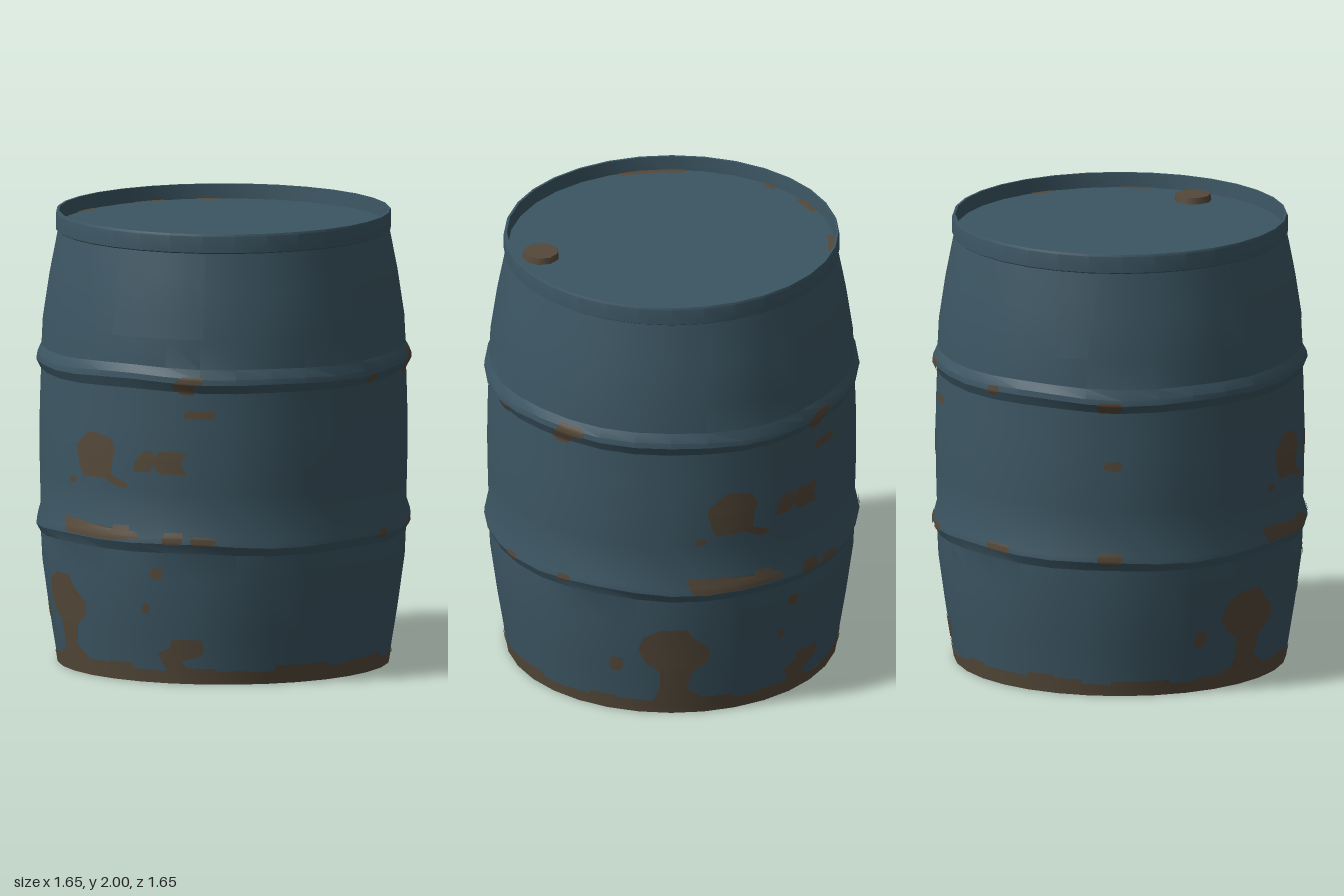
import * as THREE from 'three';
import { toCreasedNormals } from 'three/addons/utils/BufferGeometryUtils.js';

const SIDES = 32;
const rad = THREE.MathUtils.degToRad;
const blue = new THREE.MeshStandardMaterial({ color: 0x3c5663 });
blue.name = 'blue paint';
const rust = new THREE.MeshStandardMaterial({ color: 0x55493a });
rust.name = 'rust';

// Outer wall as [radius, height], with the two pressed ribs
const WALL = [
  [0.735, 0.045], [0.765, 0.23], [0.797, 0.46], [0.803, 0.585], [0.823, 0.625], [0.821, 0.65],
  [0.804, 0.71], [0.808, 0.86], [0.81, 1.0], [0.808, 1.15], [0.803, 1.305], [0.823, 1.345],
  [0.821, 1.37], [0.801, 1.41], [0.795, 1.53], [0.765, 1.73], [0.728, 1.92],
];

function wallRadius(y) {
  for (let i = 1; i < WALL.length; i++) {
    const [r0, y0] = WALL[i - 1], [r1, y1] = WALL[i];
    if (y <= y1) return r0 + (r1 - r0) * Math.max(0, (y - y0) / (y1 - y0));
  }
  return 0.728;
}

// Slight unevenness of the ribs, shared by wall and rust
function dent(a, y) {
  const near = Math.max(0, 1 - Math.min(Math.abs(y - 0.64), Math.abs(y - 1.36)) / 0.13);
  return y + near * (0.009 * Math.sin(3 * a + 0.6) + 0.006 * Math.sin(7 * a + y * 4));
}

function lathe(name, points, material) {
  const geo = new THREE.LatheGeometry(points.map(([r, y]) => new THREE.Vector2(r, y)), SIDES);
  const p = geo.attributes.position;
  for (let i = 0; i < p.count; i++) {
    p.setY(i, dent(Math.atan2(p.getX(i), p.getZ(i)), p.getY(i)));
  }
  const mesh = new THREE.Mesh(toCreasedNormals(geo, 0.4), material);
  mesh.name = name;
  return mesh;
}

// Thin skin on the wall; rows run downward as [height, start degrees, end degrees]
function skin(name, rows, material, turn = 0, lift = 0.003) {
  const pos = [], index = [], fine = [];
  const STEPS = 4;
  for (let i = 0; i < rows.length - 1; i++) {
    for (let s = 0; s < STEPS; s++) {
      fine.push(rows[i].map((v, k) => v + (rows[i + 1][k] - v) * s / STEPS));
    }
  }
  fine.push(rows[rows.length - 1]);
  const cols = Math.max(3, Math.ceil((rows[0][2] - rows[0][1]) / 4), 5);
  fine.forEach(([y, a0, a1], j) => {
    for (let c = 0; c <= cols; c++) {
      const a = rad(a0 + (a1 - a0) * c / cols + turn);
      const r = wallRadius(y) + lift;
      pos.push(r * Math.sin(a), dent(a, y), r * Math.cos(a));
      if (j && c) {
        const d = j * (cols + 1) + c, u = d - cols - 1;
        index.push(u - 1, d - 1, d, u - 1, d, u);
      }
    }
  });
  const geo = new THREE.BufferGeometry();
  geo.setAttribute('position', new THREE.Float32BufferAttribute(pos, 3));
  geo.setIndex(index);
  geo.computeVertexNormals();
  const mesh = new THREE.Mesh(geo, material);
  mesh.name = name;
  return mesh;
}

const box = (top, bottom, a0, a1) => [
  [top, a0 + 1, a1 - 0.5], [(top + bottom) / 2, a0, a1], [bottom, a0 + 0.5, a1 - 1],
];

// Rust that appears on the front and again half a turn round
const PATCHES = [
  [[1.1, 6, 9], [1.08, 4, 15], [1.03, 0, 16.5], [0.99, 0.5, 15.5], [0.92, 2, 15], [0.9, 3, 15.5]],
  [[0.92, 11, 15], [0.89, 14, 20.5], [0.87, 17, 21]],
  [[1.04, 27, 30], [1.0, 24, 30], [0.945, 23, 29]],
  [[1.04, 32, 41], [0.99, 29, 39], [0.94, 32, 41]],
  box(1.225, 1.19, 40, 50),
  [[1.38, 40, 46], [1.35, 37, 46], [1.33, 36, 43], [1.295, 39, 43]],
  box(0.89, 0.86, -4, 0),
  [[0.7, -6, -1], [0.675, -6, 24], [0.645, -5, 26], [0.63, -4, 14]],
  box(0.7, 0.645, 15, 22),
  box(0.675, 0.62, 33, 40),
  box(0.66, 0.62, 42, 50),
  [[0.44, -14, -6], [0.4, -20, -4.5], [0.33, -22, 1.5], [0.27, -20, 1], [0.22, -15, -4],
    [0.13, -15, -6], [0.05, -18, 3]],
  box(0.28, 0.21, -32, -27),
  [[0.2, 35, 45], [0.16, 34, 46], [0.13, 29.5, 45], [0.1, 31, 38], [0.05, 33, 42]],
  box(0.355, 0.31, 25, 28),
  box(0.52, 0.47, 28.5, 33),
];

// Rust that appears once
const SINGLES = [
  box(1.36, 1.305, -64, -56), box(1.08, 1.04, -62, -56), box(0.67, 0.61, -64, -56),
  [[1.39, 132, 140], [1.35, 131, 141], [1.32, 128, 136], [1.29, 130, 134]],
  box(1.35, 1.31, 103, 108), box(1.37, 1.33, 258, 263), box(0.65, 0.615, 131, 136),
  box(0.65, 0.61, 108, 113), box(0.66, 0.62, 258, 267),
];

export function createModel() {
  const barrel = new THREE.Group();
  barrel.name = 'barrel';

  barrel.add(
    lathe('wall', WALL, blue),
    lathe('foot', [[0.71, 0.015], [0.712, 0], [0.73, 0], [0.737, 0.045], [0.733, 0.05]], rust),
    lathe('base', [[0, 0.015], [0.712, 0.015]], blue),
    lathe('rim', [[0.725, 1.91], [0.737, 1.918], [0.737, 1.99], [0.733, 2], [0.723, 2],
      [0.718, 1.93]], blue),
    lathe('lid', [[0.72, 1.935], [0, 1.935]], blue),
  );

  // Shallow wall panels under the rim
  barrel.add(
    skin('frontPanel', [[1.91, 14.5, 46], [1.54, 14.5, 46]], blue, 0, 0.004),
    skin('sidePanel', [[1.91, -77, -64], [1.54, -77, -67]], blue, 0, 0.004),
  );

  // Rust on the wall
  const stains = new THREE.Group();
  stains.name = 'rustStains';
  for (const turn of [0, 180]) {
    for (const rows of PATCHES) stains.add(skin('rustPatch', rows, rust, turn));
  }
  for (const rows of SINGLES) stains.add(skin('rustPatch', rows, rust));

  // Uneven rust edge above the foot
  for (let i = 0; i < 36; i++) {
    const top = 0.068 + 0.012 * Math.sin(i * 1.9) + 0.008 * Math.sin(i * 0.7 + 2);
    stains.add(skin('rustEdge', [[top, i * 10, i * 10 + 10], [0.045, i * 10, i * 10 + 10]], rust));
  }

  // Rust around the lid edge: [degrees, width in degrees]
  for (const [a, w] of [[-4, 24], [117, 11], [152, 8], [238, 8], [260, 12], [-69, 11], [-49, 5]]) {
    const geo = new THREE.RingGeometry(0.688, 0.72, 6, 1, rad(a - w / 2 - 90), rad(w));
    const mesh = new THREE.Mesh(geo.rotateX(-Math.PI / 2), rust);
    mesh.position.y = 1.938;
    mesh.name = 'lidRust';
    stains.add(mesh);
  }
  barrel.add(stains);

  // Filler cap
  const cap = new THREE.Mesh(new THREE.CylinderGeometry(0.077, 0.083, 0.03, 9), rust);
  cap.name = 'fillerCap';
  cap.position.set(0.585, 1.948, 0);
  barrel.add(cap);

  return barrel;
}
